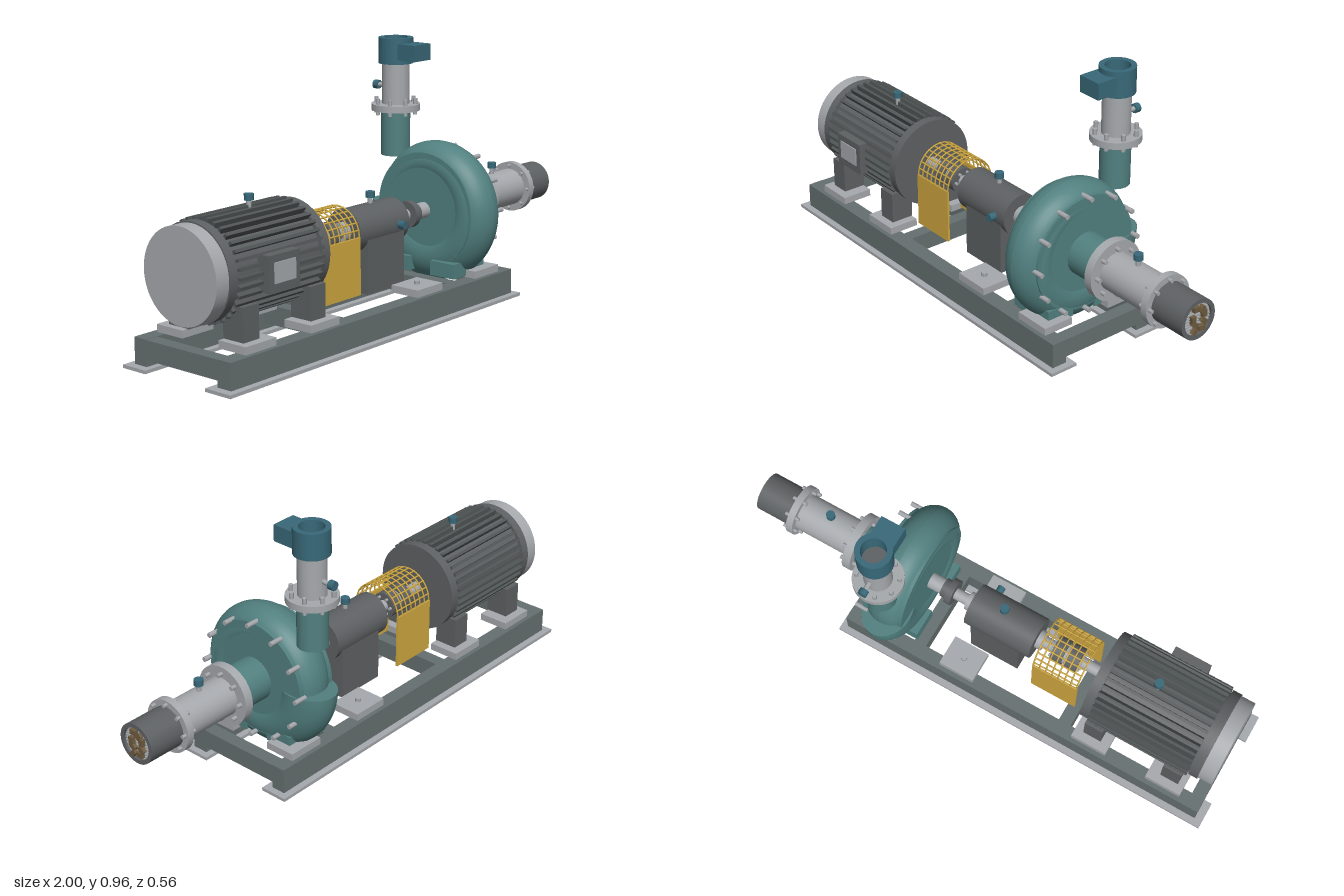
import * as THREE from 'three';

const AY = 0.345, AZ = 0.02; // shaft axis
const mat = (color, side = THREE.FrontSide) => new THREE.MeshStandardMaterial({ color, side });
const M = {
  light: mat(0xa6a9ad), dark: mat(0x5e6163), rail: mat(0x667070), fin: mat(0x505556),
  teal: mat(0x528080, THREE.DoubleSide), blue: mat(0x386878, THREE.DoubleSide),
  yellow: mat(0xd0a840, THREE.DoubleSide), brown: mat(0x6e5b40),
};

export function createModel() {
  const model = new THREE.Group();
  let parent = model;
  const section = (name) => {
    parent = new THREE.Group();
    parent.name = name;
    model.add(parent);
    return parent;
  };
  const add = (name, geo, m) => {
    const mesh = new THREE.Mesh(geo, m);
    mesh.name = name;
    parent.add(mesh);
    return mesh;
  };
  // box from min/max limits
  const box = (name, m, x0, x1, y0, y1, z0, z1) => {
    const b = add(name, new THREE.BoxGeometry(x1 - x0, y1 - y0, z1 - z0), m);
    b.position.set((x0 + x1) / 2, (y0 + y1) / 2, (z0 + z1) / 2);
    return b;
  };
  // cylinder along x, y or z, starting at a point
  const rod = (name, m, axis, x, y, z, r, len, seg = 40) => {
    const g = new THREE.CylinderGeometry(r, r, len, seg);
    g.translate(0, len / 2, 0);
    if (axis === 'x') g.rotateZ(-Math.PI / 2);
    if (axis === 'z') g.rotateX(Math.PI / 2);
    const c = add(name, g, m);
    c.position.set(x, y, z);
    return c;
  };
  const axial = (name, m, x0, x1, r, seg) => rod(name, m, 'x', x0, AY, AZ, r, x1 - x0, seg);
  // hollow pipe along y, sharp edged
  const ringGeo = (ro, ri, len) => {
    const s = new THREE.Shape().absarc(0, 0, ro, 0, Math.PI * 2);
    s.holes.push(new THREE.Path().absarc(0, 0, ri, 0, Math.PI * 2, true));
    const g = new THREE.ExtrudeGeometry(s, { depth: len, bevelEnabled: false, curveSegments: 24 });
    return g.rotateX(-Math.PI / 2);
  };
  const polar = (n, fn) => {
    for (let i = 0; i < n; i++) fn((i / n) * Math.PI * 2);
  };
  const axialBolts = (n, r, x0, x1, size) => polar(n, (a) =>
    rod('bolt', M.light, 'x', x0, AY + r * Math.sin(a), AZ + r * Math.cos(a), size, x1 - x0, 8));
  const capPlug = (name, x, y, h) => {
    rod(name + 'Stem', M.light, 'y', x, y, AZ, 0.009, h, 12);
    rod(name + 'Cap', M.blue, 'y', x, y + h - 0.02, AZ, 0.017, 0.022, 12);
  };

  // skid frame
  section('skidFrame');
  for (const [z0, z1] of [[0.18, 0.24], [-0.2, -0.145]]) {
    box('rail', M.rail, -0.97, 0.535, 0.01, 0.105, z0, z1);
    box('railSole', M.light, -1, 0.56, 0, 0.012, z0 - 0.025, z1 + 0.025);
  }
  for (const x of [-0.97, -0.41, 0.215, 0.485]) box('crossBeam', M.rail, x, x + 0.05, 0.035, 0.104, -0.16, 0.2);

  // mounting pads, mirrored about the shaft
  section('mountingPads');
  for (const x of [-0.885, -0.575, -0.01, 0.33]) for (const s of [-1, 1]) {
    const z = AZ + s * 0.143;
    box('pad', M.light, x, x + 0.143, 0.105, 0.132, z - 0.06, z + 0.06);
    rod('padBolt', M.light, 'y', x + 0.071, 0.13, z, 0.012, 0.015, 6);
  }

  // motor with cooling fins
  section('motor');
  axial('fanCover', M.light, -0.97, -0.915, 0.165, 64);
  axial('fanCollar', M.dark, -0.915, -0.88, 0.17, 64);
  axial('motorBody', M.dark, -0.88, -0.45, 0.157, 64);
  axial('motorEndBell', M.dark, -0.478, -0.44, 0.17, 64);
  polar(36, (a) => {
    const f = add('coolingFin', new THREE.BoxGeometry(0.4, 0.03, 0.011), M.fin);
    f.position.set(-0.675, AY + 0.164 * Math.cos(a), AZ + 0.164 * Math.sin(a));
    f.rotation.x = a;
  });
  for (const x of [-0.86, -0.538]) for (const s of [-1, 1]) {
    const z = AZ + s * 0.125;
    box('motorFoot', M.dark, x, x + 0.073, 0.13, 0.25, z - 0.045, z + 0.045);
  }
  box('terminalBox', M.dark, -0.77, -0.625, 0.28, 0.405, 0.12, 0.222);
  box('terminalLid', M.light, -0.748, -0.648, 0.31, 0.38, 0.215, 0.226);
  capPlug('motorPlug', -0.65, 0.51, 0.05);

  // shaft and coupling
  section('shaft');
  axial('driveShaft', M.light, -0.45, 0.3, 0.022, 24);
  axial('motorHub', M.dark, -0.35, -0.305, 0.05);
  axial('couplingInsert', M.light, -0.305, -0.29, 0.04);
  axial('pumpHub', M.dark, -0.29, -0.245, 0.05);
  axialBolts(6, 0.035, -0.36, -0.235, 0.006);

  // coupling guard: wire hood over two side panels
  section('couplingGuard');
  for (const s of [-1, 1]) {
    const z = AZ + s * 0.1;
    box('guardPanel', M.yellow, -0.39, -0.205, 0.14, 0.345, z - 0.004, z + 0.004);
  }
  for (let i = 0; i < 8; i++) {
    const hoop = add('guardHoop', new THREE.TorusGeometry(0.1, 0.003, 6, 28, Math.PI), M.yellow);
    hoop.rotation.y = Math.PI / 2;
    hoop.position.set(-0.387 + (i * 0.179) / 7, AY, AZ);
  }
  for (let i = 0; i <= 12; i++) {
    const a = (i * Math.PI) / 12;
    rod('guardWire', M.yellow, 'x', -0.39, AY + 0.1 * Math.sin(a), AZ + 0.1 * Math.cos(a), 0.003, 0.185, 6);
  }

  // bearing housing
  section('bearingHousing');
  axial('housing', M.dark, -0.175, 0.095, 0.08);
  axial('frontBearingCover', M.light, -0.2, -0.175, 0.036);
  axial('rearBearingCover', M.light, 0.095, 0.12, 0.036);
  box('pedestal', M.dark, -0.13, 0.07, 0.12, 0.32, AZ - 0.075, AZ + 0.075);
  capPlug('breather', -0.03, 0.42, 0.045);
  rod('sightGlass', M.blue, 'z', 0.04, AY, AZ + 0.07, 0.015, 0.035, 16);
  axial('sealGland', M.dark, 0.175, 0.2, 0.05);
  axial('sealCollar', M.dark, 0.2, 0.225, 0.036);
  axial('sealSleeve', M.light, 0.225, 0.29, 0.03);

  // spiral pump casing
  section('pumpCasing');
  const N = 80, K = 32, R = 0.175, pos = [], idx = [];
  for (let i = 0; i <= N; i++) {
    const t = i / N, a = t * Math.PI * 2, h = 0.062 + 0.052 * t, w = 0.08 + 0.01 * t;
    for (let j = 0; j <= K; j++) {
      const b = (j / K) * Math.PI * 2, r = R + h * Math.cos(b);
      pos.push(0.36 + w * Math.sin(b), AY + r * Math.sin(a), AZ - r * Math.cos(a));
      if (i < N && j < K) {
        const p = i * (K + 1) + j, q = p + K + 1;
        idx.push(p, p + 1, q, q, p + 1, q + 1);
      }
    }
  }
  const spiral = new THREE.BufferGeometry();
  spiral.setAttribute('position', new THREE.Float32BufferAttribute(pos, 3));
  spiral.setIndex(idx);
  spiral.computeVertexNormals();
  add('volute', spiral, M.teal);
  const end = add('voluteEnd', new THREE.CircleGeometry(1, 32), M.teal);
  end.scale.set(0.09, 0.114, 1);
  end.rotation.x = Math.PI / 2;
  end.position.set(0.36, AY - 0.001, AZ - R);
  axial('casingCover', M.teal, 0.28, 0.442, 0.215, 64);
  axialBolts(12, 0.217, 0.42, 0.472, 0.009);
  for (const s of [-1, 1]) {
    const z = AZ + s * 0.105;
    box('casingFoot', M.teal, 0.255, 0.44, 0.11, 0.165, z - 0.055, z + 0.055);
  }

  // discharge line
  section('dischargeLine');
  const DX = 0.36, DZ = -0.18;
  const upright = (name, m, y, ro, ri, len) =>
    add(name, ringGeo(ro, ri, len), m).position.set(DX, y, DZ);
  upright('dischargePipe', M.teal, 0.52, 0.055, 0.044, 0.17);
  upright('dischargeFlange', M.light, 0.69, 0.092, 0.04, 0.025);
  upright('dischargeSpool', M.light, 0.715, 0.051, 0.04, 0.16);
  upright('outletHead', M.blue, 0.868, 0.065, 0.045, 0.097);
  rod('outletFloor', M.dark, 'y', DX, 0.87, DZ, 0.05, 0.02);
  polar(8, (a) => rod('flangeBolt', M.light, 'y', DX + 0.076 * Math.cos(a + 0.39), 0.675,
    DZ + 0.076 * Math.sin(a + 0.39), 0.008, 0.062, 8));
  box('outletBox', M.blue, DX - 0.047, DX + 0.047, 0.885, 0.946, -0.134, -0.053);
  rod('gaugeStem', M.light, 'z', DX, 0.778, -0.265, 0.009, 0.04, 12);
  rod('gaugeCap', M.blue, 'z', DX, 0.778, -0.281, 0.017, 0.021, 12);

  // suction line
  section('suctionLine');
  axial('suctionNeck', M.teal, 0.44, 0.57, 0.08);
  axial('suctionFlange', M.light, 0.565, 0.598, 0.112, 48);
  axial('suctionPipe', M.light, 0.598, 0.83, 0.071);
  axial('strainerFlange', M.light, 0.825, 0.852, 0.097, 48);
  axialBolts(8, 0.087, 0.55, 0.618, 0.008);
  axialBolts(8, 0.084, 0.81, 0.868, 0.007);
  capPlug('suctionPlug', 0.705, 0.41, 0.048);

  // strainer with slats and trapped debris
  section('strainer');
  const shell = add('strainerShell', ringGeo(0.074, 0.059, 0.145), M.dark);
  shell.rotation.z = -Math.PI / 2;
  shell.position.set(0.848, AY, AZ);
  axial('strainerBack', M.dark, 0.85, 0.965, 0.06);
  for (let i = -5; i <= 5; i++) {
    const y = i * 0.0105, half = Math.sqrt(0.06 ** 2 - y * y);
    box('slat', M.light, 0.965, 0.985, AY + y - 0.003, AY + y + 0.003, AZ - half, AZ + half);
  }
  const clumps = [[-0.01, 0.042], [0.015, 0.035], [0.026, 0.016], [0.025, -0.012], [0.016, -0.036],
    [-0.014, -0.04], [-0.022, 0.006], [-0.016, -0.014]];
  clumps.forEach(([u, v], i) => {
    const c = add('debris', new THREE.BoxGeometry(0.02, 0.018, 0.026), M.brown);
    c.position.set(0.988, AY + v, AZ - u);
    c.rotation.x = i * 0.8;
  });
  return model;
}
